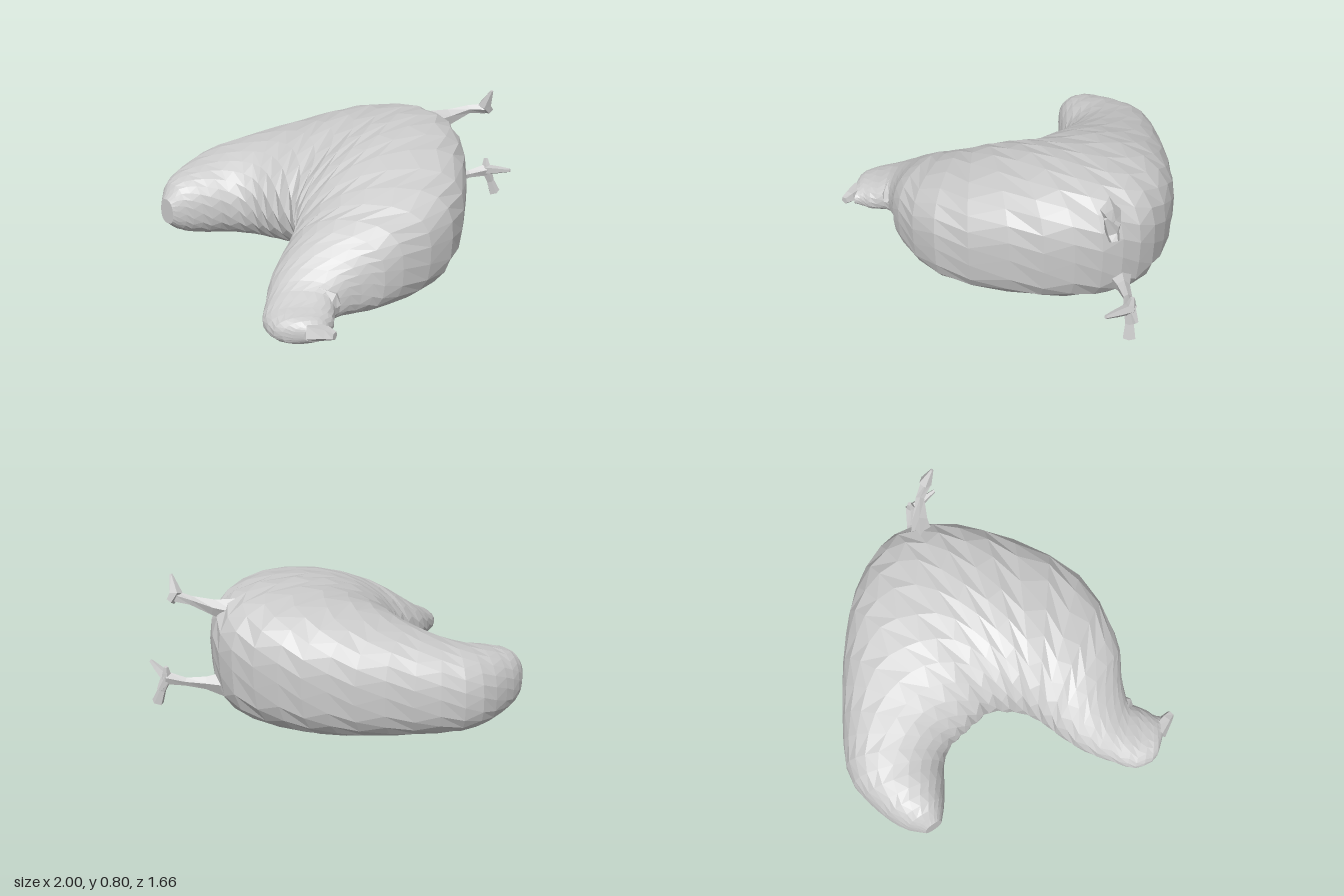
import * as THREE from 'three';

const grey = new THREE.MeshStandardMaterial({ color: 0xcccccc, flatShading: true, side: THREE.DoubleSide });
const V = (x, y, z) => new THREE.Vector3(x, y, z);

// Skin a list of closed rings (arrays of Vector3), closing both ends with fans
function loft(rings) {
  const n = rings[0].length, pos = [], idx = [];
  rings.forEach(r => r.forEach(p => pos.push(p.x, p.y, p.z)));
  for (let i = 0; i < rings.length - 1; i++) for (let j = 0; j < n; j++) {
    const a = i * n + j, b = i * n + (j + 1) % n;
    idx.push(a, b, b + n, a, b + n, a + n);
  }
  [0, rings.length - 1].forEach((k, end) => {
    const c = rings[k].reduce((s, p) => s.add(p), V(0, 0, 0)).divideScalar(n);
    const ci = pos.length / 3;
    pos.push(c.x, c.y, c.z);
    for (let j = 0; j < n; j++) {
      const a = k * n + j, b = k * n + (j + 1) % n;
      if (end) idx.push(ci, a, b); else idx.push(ci, b, a);
    }
  });
  const g = new THREE.BufferGeometry();
  g.setAttribute('position', new THREE.Float32BufferAttribute(pos, 3));
  g.setIndex(idx);
  g.computeVertexNormals();
  return g;
}

function add(parent, name, geometry) {
  const m = new THREE.Mesh(geometry, grey);
  m.name = name;
  parent.add(m);
  return m;
}

// Tapered five-sided limb through [x, y, z, radius] points
function limb(points) {
  const up = V(0, 1, 0);
  return loft(points.map((p, i) => {
    const a = points[Math.max(i - 1, 0)], b = points[Math.min(i + 1, points.length - 1)];
    const d = V(b[0] - a[0], b[1] - a[1], b[2] - a[2]).normalize();
    const q = new THREE.Quaternion().setFromUnitVectors(up, d);
    return Array.from({ length: 5 }, (_, j) => {
      const t = -j / 5 * Math.PI * 2;
      return V(Math.cos(t) * p[3], 0, Math.sin(t) * p[3]).applyQuaternion(q).add(V(p[0], p[1], p[2]));
    });
  }));
}

// Body stations from tail to head: inner x, z, outer x, z, bottom y, top y
const stations = [
  [-0.645, -0.56, -0.645, -0.66, 0.18, 0.32],
  [-0.58, -0.50, -0.56, -0.74, 0.12, 0.40],
  [-0.48, -0.43, -0.41, -0.80, 0.08, 0.44],
  [-0.38, -0.36, -0.18, -0.83, 0.05, 0.48],
  [-0.33, -0.28, 0.10, -0.69, 0.03, 0.54],
  [-0.32, -0.20, 0.40, -0.48, 0.01, 0.61],
  [-0.31, -0.10, 0.62, -0.26, 0, 0.68],
  [-0.31, 0.00, 0.75, 0.03, 0, 0.72],
  [-0.36, 0.07, 0.69, 0.27, 0, 0.73],
  [-0.42, 0.14, 0.45, 0.54, 0, 0.70],
  [-0.50, 0.19, 0.02, 0.80, 0.01, 0.60],
  [-0.60, 0.23, -0.40, 0.77, 0.03, 0.48],
  [-0.75, 0.30, -0.53, 0.70, 0.05, 0.37],
  [-0.88, 0.40, -0.66, 0.66, 0.06, 0.27],
  [-0.97, 0.48, -0.74, 0.72, 0.06, 0.22],
  [-0.99, 0.60, -0.79, 0.74, 0.07, 0.20],
  [-0.92, 0.70, -0.82, 0.77, 0.10, 0.17],
];

function bodyGeometry() {
  const curve = k => new THREE.CatmullRomCurve3(stations.map(s => V(s[k], s[k + 1], 0)));
  const inner = curve(0), outer = curve(2), height = curve(4);
  const steps = 40, sides = 22, rings = [];
  const pow = (v, e) => Math.sign(v) * Math.abs(v) ** e;
  for (let i = 0; i <= steps; i++) {
    const v = i / steps;
    const a = inner.getPoint(v), b = outer.getPoint(v), h = height.getPoint(v);
    const lean = 0.32 * Math.sin(Math.PI * v) ** 2;   // back ridge leans to the outside of the curl
    const mid = h.x + (h.y - h.x) * 0.45;
    rings.push(Array.from({ length: sides }, (_, j) => {
      const t = (j + 0.5 * (i % 2)) / sides * Math.PI * 2;
      const c = Math.cos(t), s = Math.sin(t);
      const u = 0.5 + 0.5 * (pow(c, 0.85) + (s > 0 ? lean * s ** 1.5 : 0));
      const y = s > 0 ? mid + (h.y - mid) * s ** 0.9 : mid - (mid - h.x) * (-s) ** 0.8;
      return V(a.x + (b.x - a.x) * u, Math.max(y, 0), a.y + (b.y - a.y) * u);
    }));
  }
  return loft(rings);
}

export function createModel() {
  const model = new THREE.Group();
  model.name = 'curledAnimal';
  add(model, 'body', bodyGeometry());

  // Head details
  const head = new THREE.Group();
  head.name = 'head';
  model.add(head);
  add(head, 'snout', limb([[-0.88, 0.14, 0.7, 0.05], [-0.85, 0.15, 0.78, 0.035], [-0.84, 0.15, 0.82, 0.022]]));
  add(head, 'cheek', limb([[-0.7, 0.21, 0.58, 0.06], [-0.66, 0.2, 0.64, 0.045], [-0.65, 0.17, 0.665, 0.02]]));

  // Raised limb with a flared foot
  const upper = new THREE.Group();
  upper.name = 'upperLimb';
  model.add(upper);
  add(upper, 'upperLeg', limb([[0.6, 0.62, 0.17, 0.07], [0.7, 0.645, 0.22, 0.042], [0.79, 0.68, 0.28, 0.024], [0.84, 0.69, 0.35, 0.03]]));
  add(upper, 'upperFoot', limb([[0.87, 0.67, 0.36, 0.025], [0.84, 0.71, 0.35, 0.036], [0.84, 0.8, 0.395, 0.008]]));

  // Lower limb with spread toes
  const lower = new THREE.Group();
  lower.name = 'lowerLimb';
  model.add(lower);
  add(lower, 'lowerLeg', limb([[0.68, 0.24, 0.15, 0.07], [0.77, 0.25, 0.2, 0.035], [0.86, 0.26, 0.25, 0.022], [0.94, 0.28, 0.31, 0.035]]));
  const toes = [[0.945, 0.32, 0.47, 0.01], [0.98, 0.14, 0.345, 0.032], [0.945, 0.345, 0.3, 0.012], [0.985, 0.22, 0.31, 0.014]];
  toes.forEach(t => add(lower, 'toe', limb([[0.94, 0.28, 0.31, 0.03], [(0.94 + t[0]) / 2, (0.28 + t[1]) / 2, (0.31 + t[2]) / 2, 0.022], t])));
  return model;
}
